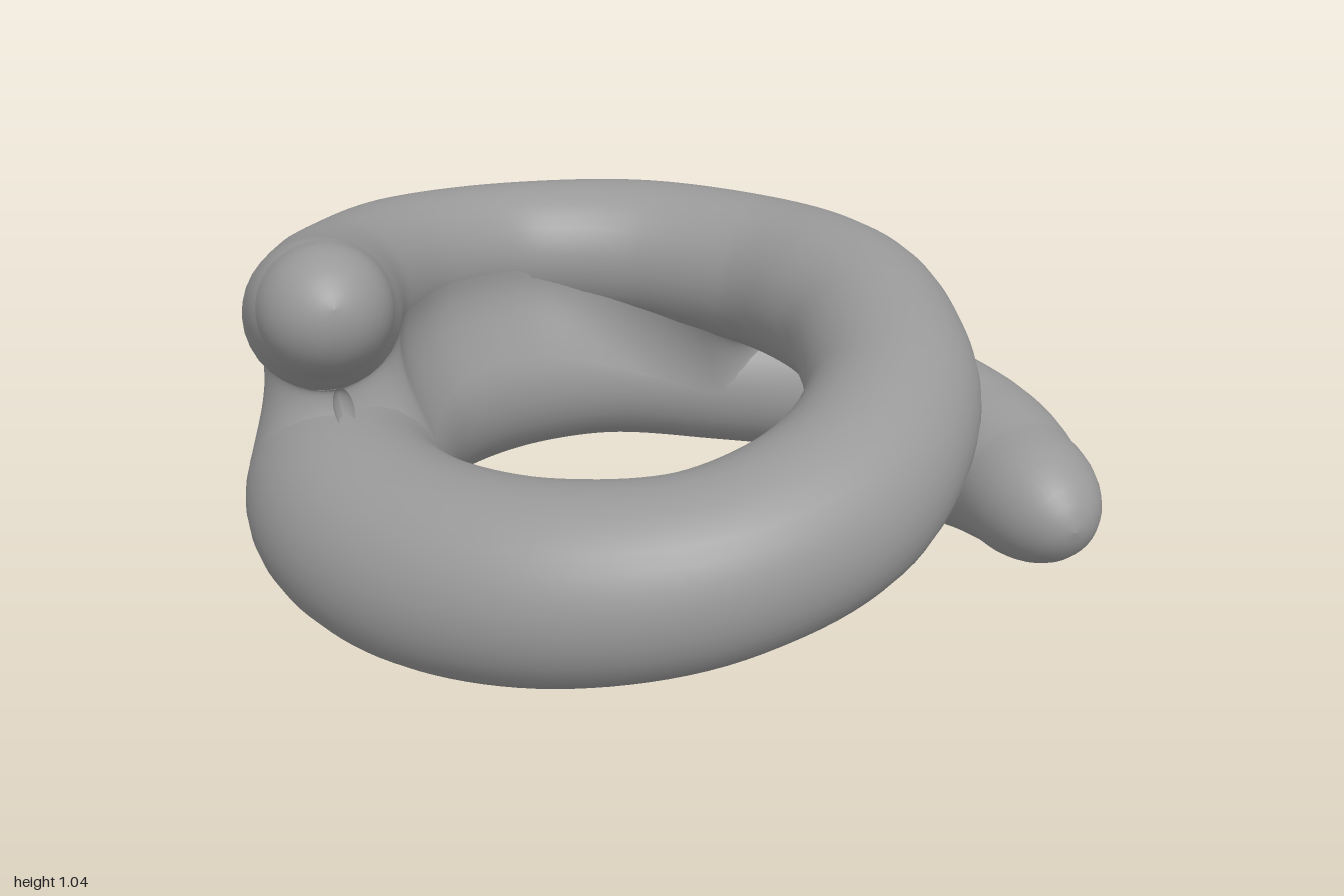
import * as THREE from 'three';

const material = new THREE.MeshStandardMaterial({ color: 0x999999 });

function makeMesh(name, positions, indices) {
  const geometry = new THREE.BufferGeometry();
  geometry.setAttribute('position', new THREE.Float32BufferAttribute(positions, 3));
  geometry.setIndex(indices);
  geometry.computeVertexNormals();
  const mesh = new THREE.Mesh(geometry, material);
  mesh.name = name;
  return mesh;
}

// Rope centre line as x, y, z, radius: low tail, round the back, right, front and back, raised end
const knots = [
  [0.802, 0.207, 0.25, 0.163],
  [0.812, 0.205, 0.12, 0.187],
  [0.8, 0.205, -0.01, 0.203],
  [0.74, 0.235, -0.2, 0.195],
  [0.58, 0.26, -0.4, 0.185],
  [0.35, 0.28, -0.55, 0.19],
  [0.05, 0.31, -0.64, 0.185],
  [-0.28, 0.34, -0.61, 0.2],
  [-0.56, 0.36, -0.44, 0.205],
  [-0.73, 0.37, -0.18, 0.215],
  [-0.78, 0.38, 0.08, 0.22],
  [-0.69, 0.385, 0.35, 0.215],
  [-0.49, 0.41, 0.57, 0.205],
  [-0.21, 0.44, 0.67, 0.195],
  [0.1, 0.485, 0.6, 0.2],
  [0.34, 0.55, 0.39, 0.195],
  [0.45, 0.6, 0.12, 0.195],
  [0.46, 0.62, -0.1, 0.197],
  [0.38, 0.62, -0.36, 0.19],
  [0.15, 0.63, -0.61, 0.18],
  [-0.17, 0.65, -0.705, 0.165],
  [-0.48, 0.68, -0.6, 0.168],
  [-0.69, 0.72, -0.36, 0.168],
  [-0.785, 0.79, -0.08, 0.165],
  [-0.825, 0.87, 0.1, 0.147],
  [-0.832, 0.903, 0.19, 0.133],
];
const path = new THREE.CatmullRomCurve3(
  knots.map(k => new THREE.Vector3(k[0], k[1], k[2])), false, 'catmullrom', 0.5);
const width = new THREE.CatmullRomCurve3(
  knots.map(k => new THREE.Vector3(k[3], 0, 0)), false, 'catmullrom', 0.5);
const station = knot => {
  const t = knot / (knots.length - 1);
  return { centre: path.getPoint(t), tangent: path.getTangent(t), r: width.getPoint(t).x };
};

// Round section swept along the centre line, with domed ends
function buildRope() {
  const segments = 240, sides = 32, capSteps = 8, last = knots.length - 1;
  const rings = [];
  const addCapRing = (knot, angle, length) => {
    const s = station(knot);
    s.centre.addScaledVector(s.tangent, length * Math.sin(angle));
    s.r = Math.max(s.r * Math.cos(angle), 0.0005);
    rings.push(s);
  };
  for (let i = capSteps; i > 0; i--) addCapRing(0, i / capSteps * Math.PI / 2, -0.25);
  for (let i = 0; i <= segments; i++) rings.push(station(i / segments * last));
  for (let i = 1; i <= capSteps; i++) addCapRing(last, i / capSteps * Math.PI / 2, 0.16);

  const positions = [], indices = [];
  const worldUp = new THREE.Vector3(0, 1, 0);
  rings.forEach(({ centre, tangent, r }, i) => {
    const side = new THREE.Vector3().crossVectors(tangent, worldUp).normalize();
    const up = new THREE.Vector3().crossVectors(side, tangent);
    for (let j = 0; j < sides; j++) {
      const a = j / sides * Math.PI * 2;
      const p = centre.clone()
        .addScaledVector(side, r * Math.cos(a))
        .addScaledVector(up, r * Math.sin(a));
      positions.push(p.x, p.y, p.z);
      if (i === rings.length - 1) continue;
      const k = (j + 1) % sides;
      const a0 = i * sides + j, a1 = i * sides + k;
      indices.push(a0, a0 + sides, a1, a1, a0 + sides, a1 + sides);
    }
  });
  return makeMesh('coiledRope', positions, indices);
}

// Hollow fillet joining the lower turn to the upper one; sign +1 is the outer face, -1 the inner
function buildWeb(name, sign) {
  const stations = 70, steps = 12;
  const upperTurn = Array.from({ length: 401 }, (_, i) => station(17 + 8 * i / 400));
  const positions = [], indices = [];
  for (let i = 0; i <= stations; i++) {
    const f = i / stations;
    const low = station(4 + 6.3 * f);
    const high = upperTurn.reduce((a, b) =>
      a.centre.distanceTo(low.centre) < b.centre.distanceTo(low.centre) ? a : b);
    const d = high.centre.clone().sub(low.centre).normalize();
    const n = new THREE.Vector3().crossVectors(low.tangent, d).normalize().multiplyScalar(sign);

    // The fillet meets both turns tangentially and narrows to a fin at its two ends
    const ease = THREE.MathUtils.smoothstep(Math.min(f, 1 - f), 0, 0.16);
    const theta = THREE.MathUtils.lerp(Math.PI / 2, 0.3, ease);
    const c = Math.cos(theta), s = Math.sin(theta);
    const p0 = low.centre.clone().addScaledVector(n, low.r * c).addScaledVector(d, low.r * s);
    const p3 = high.centre.clone().addScaledVector(n, high.r * c).addScaledVector(d, -high.r * s);
    const handle = p0.distanceTo(p3) * 0.35;
    const p1 = p0.clone().addScaledVector(n, -handle * s).addScaledVector(d, handle * c);
    const p2 = p3.clone().addScaledVector(n, -handle * s).addScaledVector(d, -handle * c);
    const section = new THREE.CubicBezierCurve3(p0, p1, p2, p3);
    for (let j = 0; j <= steps; j++) {
      positions.push(...section.getPoint(j / steps).toArray());
      if (i === stations || j === steps) continue;
      const a = i * (steps + 1) + j, b = a + steps + 1;
      if (sign > 0) indices.push(a, b, a + 1, a + 1, b, b + 1);
      else indices.push(a, a + 1, b, a + 1, b + 1, b);
    }
  }
  return makeMesh(name, positions, indices);
}

export function createModel() {
  const group = new THREE.Group();
  group.name = 'coil';
  group.add(buildRope(), buildWeb('outerWeb', 1), buildWeb('innerWeb', -1));
  return group;
}
